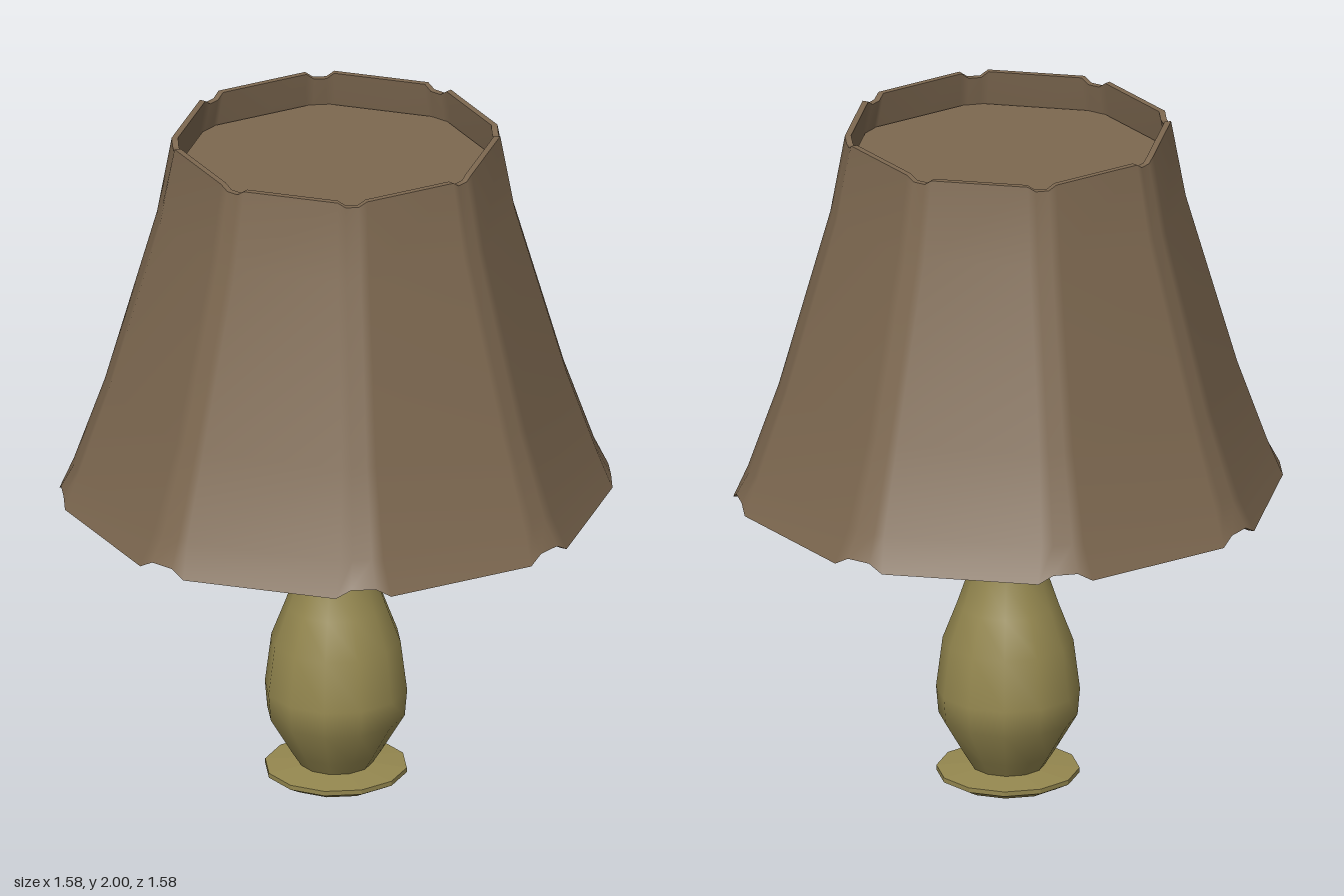
import * as THREE from 'three';

const SIDES = 8;

// One octagonal ring with cut corners; `notch` shifts the middle of each corner in y
function ring(y, cut, half, notch = 0) {
  const pts = [];
  for (let k = 0; k < SIDES; k++) {
    const a = (k / SIDES) * Math.PI * 2;
    for (const s of [-1, -0.45, 0.45, 1]) {
      const side = s * half;
      pts.push([
        Math.sin(a) * cut + Math.cos(a) * side,
        y + (Math.abs(s) < 1 ? notch : 0),
        Math.cos(a) * cut - Math.sin(a) * side,
      ]);
    }
  }
  return pts;
}

// Skin a list of rings with smooth normals
function loft(rings) {
  const n = rings[0].length;
  const index = [];
  for (let r = 0; r < rings.length - 1; r++) {
    for (let i = 0; i < n; i++) {
      const j = (i + 1) % n;
      const a = r * n + i, b = r * n + j;
      index.push(a, b, b + n, a, b + n, a + n);
    }
  }
  const g = new THREE.BufferGeometry();
  g.setAttribute('position', new THREE.Float32BufferAttribute(rings.flat(2), 3));
  g.setIndex(index);
  g.computeVertexNormals();
  return g;
}

function lathe(points, sides) {
  return new THREE.LatheGeometry(points.map(([r, y]) => new THREE.Vector2(r, y)), sides);
}

export function createModel() {
  const model = new THREE.Group();
  model.name = 'tableLamp';
  const fabric = new THREE.MeshStandardMaterial({ color: 0x7d6850 });
  fabric.name = 'brownFabric';
  const ceramic = new THREE.MeshStandardMaterial({ color: 0x94874f });
  ceramic.name = 'oliveCeramic';

  const add = (parent, name, geometry, material) => {
    const mesh = new THREE.Mesh(geometry, material);
    mesh.name = name;
    parent.add(mesh);
    return mesh;
  };

  // Shade: outer and inner skins joined by thin rims; rows are y, cut distance, corner half width, notch
  const profile = [
    [0.9, 0.79, 0.08, 0.024],
    [1.0, 0.75, 0.062, 0],
    [1.25, 0.662, 0.05, 0],
    [1.77, 0.512, 0.045, 0],
    [2.0, 0.47, 0.042, -0.016],
  ];
  const outer = profile.map((p) => ring(...p));
  const inner = profile.map(([y, c, h, n]) => ring(y, c - 0.018, h * 0.95, n)).reverse();
  const shade = new THREE.Group();
  shade.name = 'shade';
  model.add(shade);
  add(shade, 'shadeOutside', loft(outer), fabric);
  add(shade, 'shadeInside', loft(inner), fabric);
  add(shade, 'shadeTopRim', loft([outer[4], inner[0]]), fabric);
  add(shade, 'shadeBottomRim', loft([inner[4], outer[0]]), fabric);

  // Octagonal panel closing the shade just under its top
  const panel = add(shade, 'shadePanel', new THREE.CylinderGeometry(0.482, 0.482, 0.012, SIDES), fabric);
  panel.position.y = 1.89;

  // Vase-shaped body and stem, rising to the panel
  add(model, 'body', lathe([
    [0.1, 0.035], [0.135, 0.09], [0.2, 0.2], [0.207, 0.28], [0.188, 0.43],
    [0.146, 0.54], [0.112, 0.64], [0.09, 0.77], [0.073, 0.9], [0.062, 1.05],
    [0.07, 1.17], [0.085, 1.28], [0.085, 1.885],
  ], 12), ceramic);

  // Foot: bevelled plate with a round recess underneath
  const foot = lathe([
    [0, 0.03], [0.1, 0.03], [0.1, 0], [0.165, 0], [0.206, 0.022], [0.206, 0.036], [0.09, 0.047],
  ], 12).toNonIndexed();
  foot.computeVertexNormals();
  add(model, 'foot', foot, ceramic);

  return model;
}
